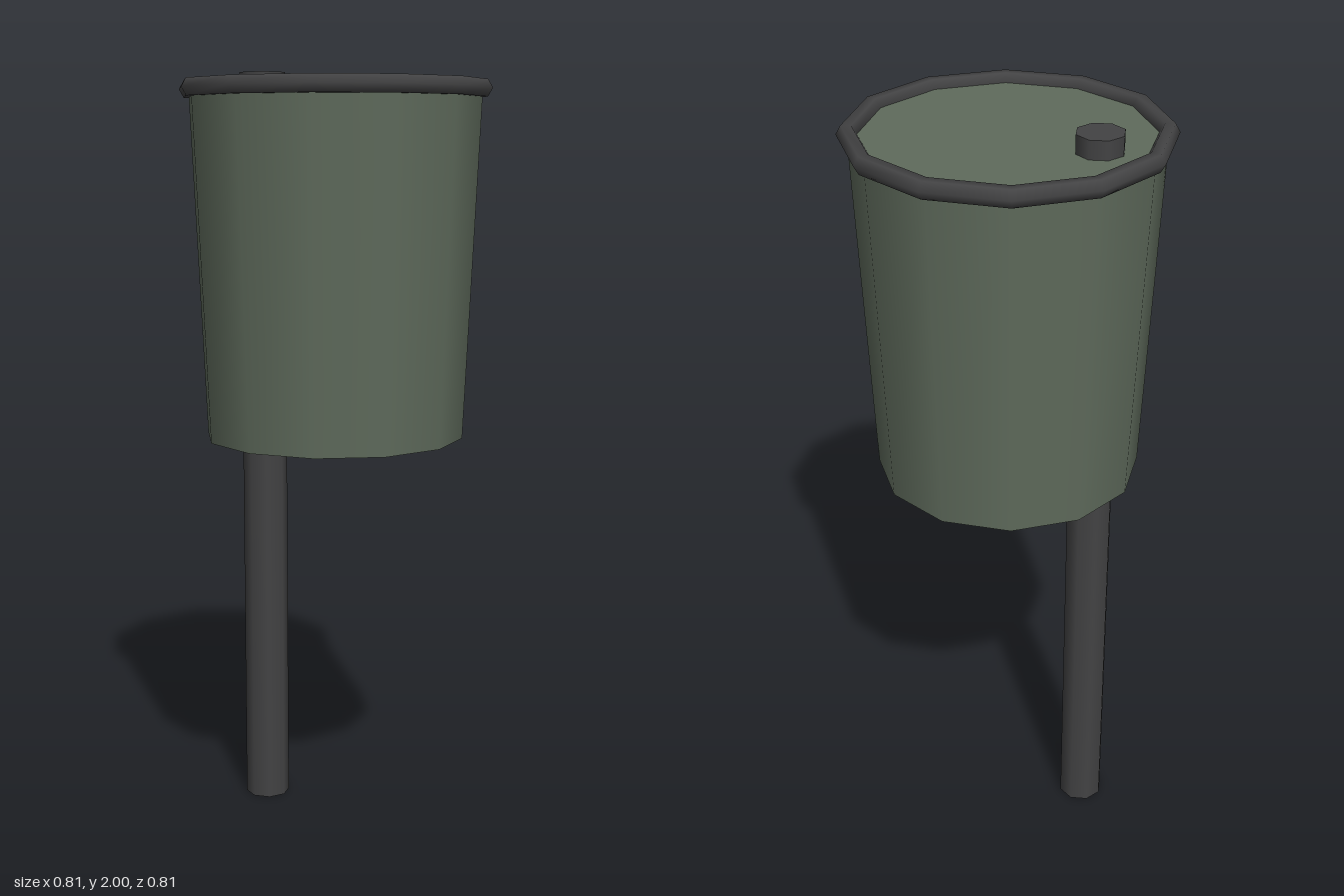
import * as THREE from 'three';

export function createModel() {
  const green = new THREE.MeshStandardMaterial({ color: 0x5f6b5c });
  green.name = 'dull green';
  const dark = new THREE.MeshStandardMaterial({ color: 0x434344 });
  dark.name = 'dark grey';

  const model = new THREE.Group();
  model.name = 'binOnPost';
  const add = (name, geometry, material, y, z = 0) => {
    const mesh = new THREE.Mesh(geometry, material);
    mesh.name = name;
    mesh.position.set(0, y, z);
    model.add(mesh);
    return mesh;
  };

  // Post running up through the back of the bin
  add('post', new THREE.CylinderGeometry(0.06, 0.06, 2, 8), dark, 1, -0.24);

  // Tapered twelve-sided bin with a closed top
  const bottom = 1.055, top = 1.953;
  add('bin', new THREE.CylinderGeometry(0.38, 0.34, top - bottom, 12), green, (top + bottom) / 2);

  // Rolled rim around the top edge
  const rim = new THREE.TorusGeometry(0.38, 0.025, 6, 12).rotateX(Math.PI / 2);
  add('rim', rim, dark, top);

  return model;
}
